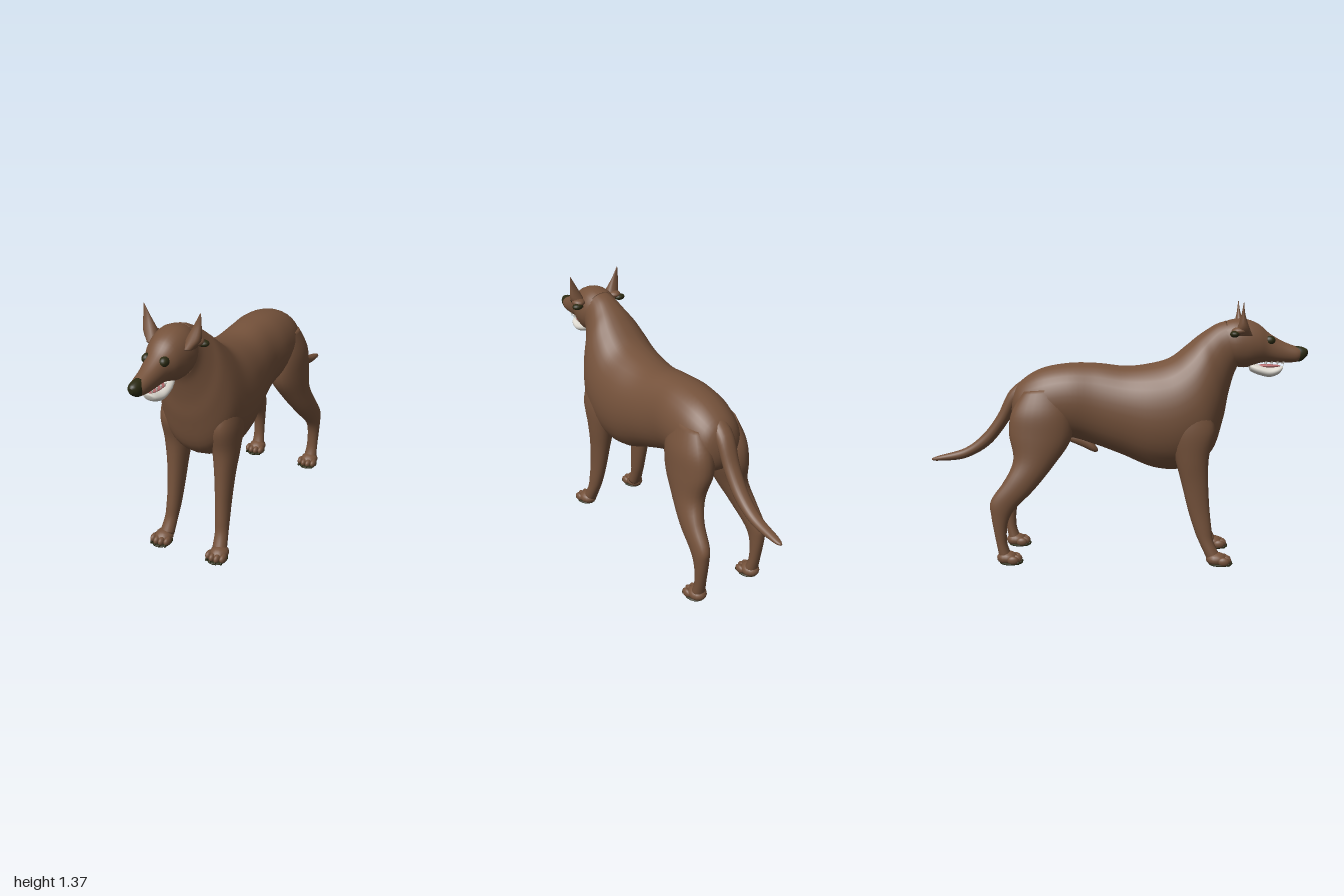
import * as THREE from 'three';

const mat = (name, color) => {
  const m = new THREE.MeshStandardMaterial({ color });
  m.name = name;
  return m;
};

// Smooth skin through oval sections [az, ay, bz, by, halfWidth, centreX].
// a and b are the two ends of the oval in the side plane.
function loft(sections, side = 1, sides = 24, steps = 5) {
  const at = (i) => sections[Math.max(0, Math.min(sections.length - 1, i))];
  const rows = [];
  for (let i = 0; i < sections.length - 1; i++) {
    for (let k = 0; k < steps; k++) rows.push([i, k / steps]);
  }
  rows.push([sections.length - 2, 1]);
  const pos = [], idx = [], n = sides;
  const centres = [];
  rows.forEach(([i, t]) => {
    const v = [0, 1, 2, 3, 4, 5].map((c) => {
      const [p, q, r, s] = [i - 1, i, i + 1, i + 2].map((j) => at(j)[c] ?? 0);
      return 0.5 * (2 * q + (r - p) * t + (2 * p - 5 * q + 4 * r - s) * t * t + (3 * q - p - 3 * r + s) * t * t * t);
    });
    const [az, ay, bz, by, w, cx] = v;
    const cy = (ay + by) / 2, cz = (az + bz) / 2;
    centres.push([cx * side, cy, cz]);
    for (let j = 0; j < n; j++) {
      const a = (j / n) * Math.PI * 2;
      const c = Math.cos(a), s = Math.sin(a);
      const full = Math.sign(s) * Math.pow(Math.abs(s), 0.9);
      pos.push(cx * side + full * Math.max(w, 0.001), cy + c * (ay - by) / 2, cz + c * (az - bz) / 2);
    }
  });
  for (let r = 0; r < rows.length - 1; r++) {
    for (let j = 0; j < n; j++) {
      const a = r * n + j, b = r * n + (j + 1) % n;
      idx.push(a, a + n, b, b, a + n, b + n);
    }
  }
  // end caps
  const first = pos.length / 3, last = (rows.length - 1) * n;
  pos.push(...centres[0], ...centres[centres.length - 1]);
  for (let j = 0; j < n; j++) {
    const k = (j + 1) % n;
    idx.push(first, j, k, first + 1, last + k, last + j);
  }
  const g = new THREE.BufferGeometry();
  g.setAttribute('position', new THREE.Float32BufferAttribute(pos, 3));
  g.setIndex(idx);
  g.computeVertexNormals();
  return g;
}

export function createModel() {
  const group = new THREE.Group();
  const coat = mat('brown coat', 0x75523b);
  const dark = mat('dark skin', 0x2b2a12);
  const white = mat('white jaw', 0xdcd8cf);
  const pink = mat('pink tongue', 0xb56a6c);

  const add = (name, geometry, material, parent = group) => {
    const m = new THREE.Mesh(geometry, material);
    m.name = name;
    parent.add(m);
    return m;
  };
  const blob = (name, material, parent, p, r) => {
    const m = add(name, new THREE.SphereGeometry(1, 16, 12), material, parent);
    m.position.set(...p);
    m.scale.set(...r);
    return m;
  };

  // Body and neck, rump to throat
  add('body', loft([
    [-0.55, 0.87, -0.555, 0.77, 0.04], [-0.51, 0.95, -0.52, 0.69, 0.115],
    [-0.40, 1.02, -0.40, 0.64, 0.16], [-0.25, 1.05, -0.25, 0.655, 0.17],
    [-0.10, 1.05, -0.12, 0.62, 0.165], [0.05, 1.035, 0.03, 0.565, 0.185],
    [0.18, 1.05, 0.20, 0.497, 0.212], [0.28, 1.08, 0.36, 0.495, 0.218],
    [0.36, 1.14, 0.50, 0.58, 0.205], [0.42, 1.19, 0.56, 0.75, 0.172],
    [0.47, 1.225, 0.585, 0.88, 0.135], [0.52, 1.255, 0.61, 0.98, 0.108],
    [0.57, 1.272, 0.63, 1.03, 0.098],
  ], 1, 32), coat);

  // Belly sheath
  add('sheath', loft([
    [-0.26, 0.67, -0.25, 0.63, 0.02], [-0.19, 0.67, -0.18, 0.60, 0.026],
    [-0.13, 0.63, -0.12, 0.573, 0.024], [-0.10, 0.59, -0.10, 0.577, 0.008],
  ]), coat);

  // Tail, tip to base
  add('tail', loft([
    [-1.0, 0.528, -1.0, 0.518, 0.006, 0.02], [-0.96, 0.543, -0.96, 0.515, 0.02, 0.02],
    [-0.82, 0.585, -0.82, 0.53, 0.031, 0.02], [-0.717, 0.663, -0.69, 0.60, 0.038, 0.018],
    [-0.636, 0.77, -0.595, 0.71, 0.043, 0.012], [-0.565, 0.905, -0.52, 0.83, 0.05, 0.005],
    [-0.45, 0.99, -0.42, 0.90, 0.05, 0],
  ]), coat);

  // Head
  const head = new THREE.Group();
  head.name = 'head';
  group.add(head);
  add('skull and muzzle', loft([
    [0.52, 1.25, 0.56, 1.06, 0.08], [0.60, 1.28, 0.62, 1.035, 0.106],
    [0.67, 1.282, 0.68, 1.03, 0.104], [0.74, 1.255, 0.74, 1.05, 0.088],
    [0.80, 1.205, 0.79, 1.058, 0.064], [0.87, 1.165, 0.86, 1.055, 0.05],
    [0.94, 1.138, 0.93, 1.057, 0.041], [0.965, 1.13, 0.955, 1.065, 0.03],
  ], 1, 28), coat, head);
  add('nose', loft([
    [0.935, 1.142, 0.94, 1.06, 0.03], [0.965, 1.138, 0.955, 1.06, 0.032],
    [0.99, 1.128, 0.975, 1.07, 0.026], [1.0, 1.115, 0.995, 1.09, 0.01],
  ]), dark, head);
  add('lower jaw', loft([
    [0.69, 1.06, 0.70, 1.01, 0.035], [0.74, 1.045, 0.74, 0.992, 0.045],
    [0.80, 1.03, 0.80, 0.979, 0.046], [0.85, 1.035, 0.85, 0.995, 0.035],
    [0.872, 1.035, 0.868, 1.02, 0.015],
  ]), white, head);
  blob('tongue', pink, head, [0, 1.037, 0.79], [0.026, 0.009, 0.07]);

  for (const s of [1, -1]) {
    // Eyes, ears and the dark fold behind each ear
    blob('eye', dark, head, [s * 0.045, 1.173, 0.795], [0.023, 0.024, 0.028]);
    add('ear', loft([
      [0.648, 1.37, 0.645, 1.368, 0.002, 0.149], [0.657, 1.31, 0.637, 1.31, 0.019, 0.134],
      [0.68, 1.245, 0.62, 1.245, 0.036, 0.115], [0.70, 1.20, 0.60, 1.20, 0.03, 0.095],
    ], s, 14), coat, head);
    blob('ear fold', coat, head, [s * 0.115, 1.225, 0.63], [0.035, 0.02, 0.04]);
    blob('ear lining', dark, head, [s * 0.135, 1.21, 0.605], [0.03, 0.017, 0.024]);
    for (let i = 0; i < 4; i++) {
      const tooth = add('tooth', new THREE.ConeGeometry(0.006, 0.022, 6), white, head);
      tooth.position.set(s * (0.037 - i * 0.004), 1.052, 0.78 + i * 0.03);
      tooth.rotation.x = Math.PI;
    }
  }

  // Paw with four toes, claws and a dark sole
  function paw(parent, x, z) {
    blob('paw', coat, parent, [x, 0.036, z - 0.015], [0.048, 0.036, 0.055]);
    blob('sole', dark, parent, [x, 0.011, z + 0.005], [0.052, 0.011, 0.062]);
    for (let i = 0; i < 4; i++) {
      const u = i - 1.5, fz = z + 0.038 - Math.abs(u) * 0.012;
      blob('toe', coat, parent, [x + u * 0.027, 0.031, fz], [0.016, 0.023, 0.03]);
      blob('claw', dark, parent, [x + u * 0.028, 0.016, fz + 0.024], [0.006, 0.009, 0.012]);
    }
  }

  // Legs, top to bottom
  const frontLeg = [
    [0.47, 0.85, 0.27, 0.85, 0.05, 0.145], [0.515, 0.72, 0.27, 0.70, 0.075, 0.138],
    [0.485, 0.58, 0.31, 0.56, 0.065, 0.138], [0.482, 0.45, 0.345, 0.43, 0.05, 0.138],
    [0.49, 0.31, 0.38, 0.29, 0.04, 0.14], [0.502, 0.20, 0.415, 0.18, 0.036, 0.145],
    [0.512, 0.13, 0.44, 0.12, 0.034, 0.15], [0.545, 0.06, 0.48, 0.035, 0.038, 0.157],
  ];
  const hindLeg = [
    [-0.28, 0.93, -0.48, 0.91, 0.05, 0.10], [-0.23, 0.80, -0.545, 0.80, 0.085, 0.105],
    [-0.235, 0.66, -0.56, 0.69, 0.09, 0.11], [-0.32, 0.53, -0.535, 0.56, 0.07, 0.135],
    [-0.43, 0.395, -0.575, 0.455, 0.052, 0.165], [-0.525, 0.30, -0.65, 0.345, 0.04, 0.178],
    [-0.565, 0.22, -0.65, 0.265, 0.034, 0.18], [-0.57, 0.12, -0.628, 0.13, 0.031, 0.178],
    [-0.55, 0.055, -0.61, 0.035, 0.037, 0.175],
  ];
  for (const s of [1, -1]) {
    const label = s > 0 ? 'left' : 'right';
    for (const [name, rows, x, z] of [['front leg', frontLeg, 0.165, 0.545], ['hind leg', hindLeg, 0.175, -0.555]]) {
      const leg = new THREE.Group();
      leg.name = `${label} ${name}`;
      group.add(leg);
      add('limb', loft(rows, s), coat, leg);
      paw(leg, s * x, z);
    }
  }
  return group;
}
